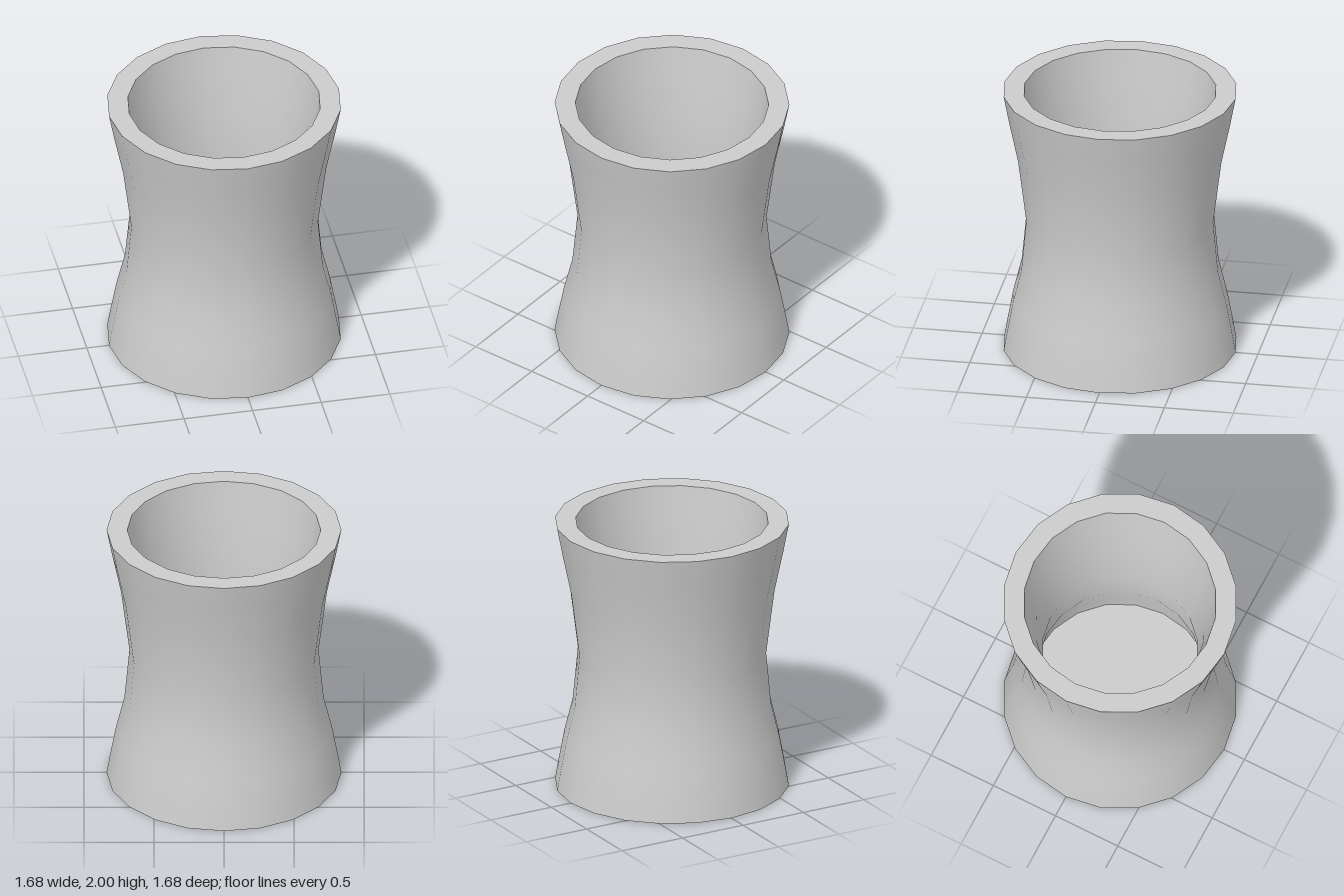
import * as THREE from 'three';

const SIDES = 20;
const BORE = 0.824; // bore radius relative to the outer radius
const FLOOR = 0.15; // height of the inner floor
const TOP = 2;

// Outer profile: [radius, height]
const PROFILE = [
  [0.838, 0], [0.816, 0.13], [0.772, 0.37], [0.711, 0.62],
  [0.675, 1.01], [0.735, 1.49], [0.798, 1.79], [0.838, TOP],
].map(([r, y]) => new THREE.Vector2(r, y));

export function createModel() {
  const group = new THREE.Group();
  const material = new THREE.MeshStandardMaterial({ color: 0xcccccc });

  const add = (name, geometry, y = 0, tilt = 0) => {
    const mesh = new THREE.Mesh(geometry, material);
    mesh.name = name;
    mesh.position.y = y;
    mesh.rotation.x = tilt;
    group.add(mesh);
  };

  // Waisted outer wall, smooth around its 20 sides
  add('outerWall', new THREE.LatheGeometry(PROFILE, SIDES));

  // Inner wall follows the same waist, listed top-down so it faces inwards
  const floorRadius = 0.812 * BORE;
  const inner = PROFILE.filter((p) => p.y > FLOOR)
    .map((p) => new THREE.Vector2(p.x * BORE, p.y))
    .reverse();
  inner.push(new THREE.Vector2(floorRadius, FLOOR));
  add('innerWall', new THREE.LatheGeometry(inner, SIDES));

  // Flat rim, inner floor and underside
  add('rim', new THREE.RingGeometry(0.838 * BORE, 0.838, SIDES), TOP, -Math.PI / 2);
  add('innerFloor', new THREE.CircleGeometry(floorRadius, SIDES), FLOOR, -Math.PI / 2);
  add('base', new THREE.CircleGeometry(0.838, SIDES), 0, Math.PI / 2);

  return group;
}
